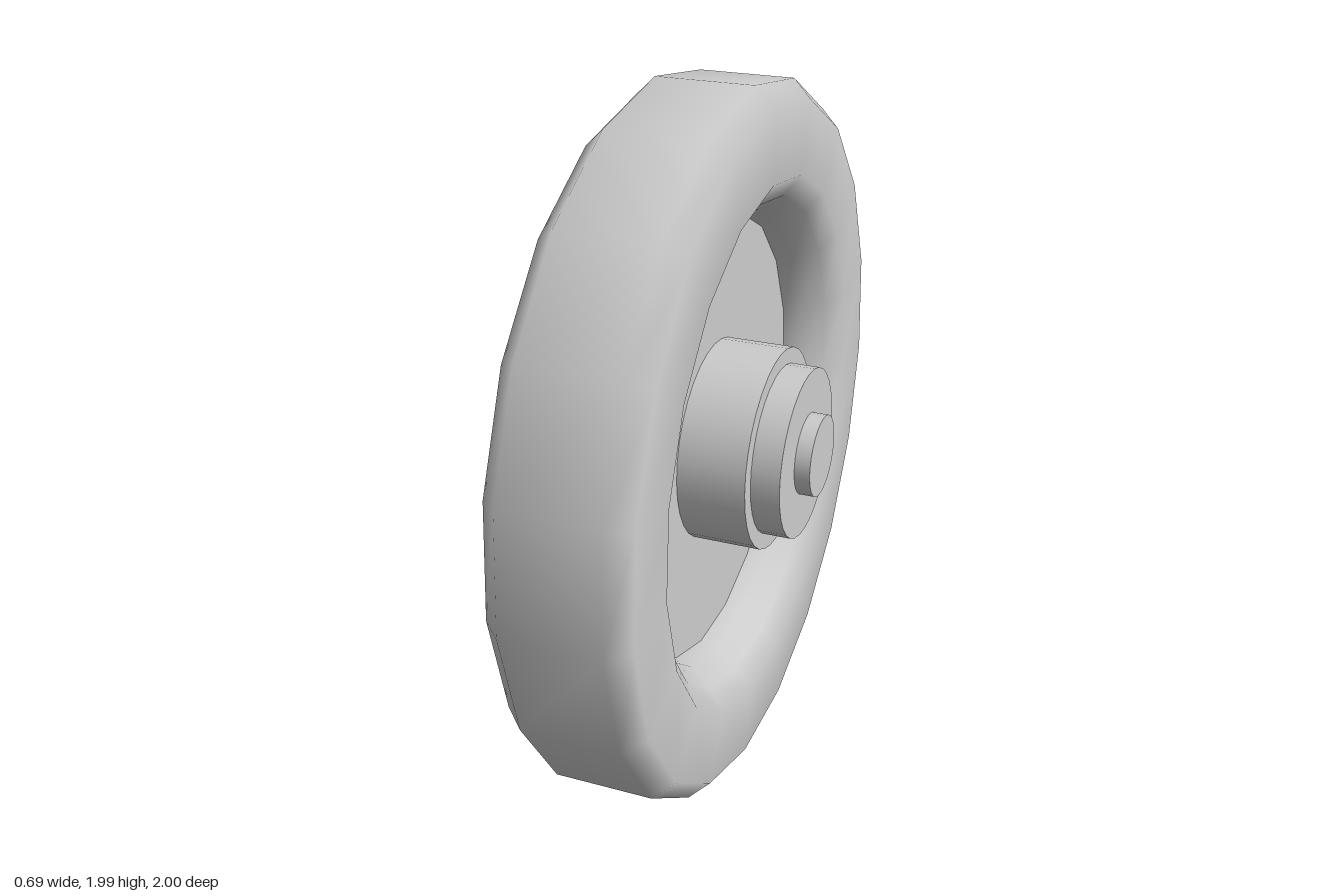
import * as THREE from 'three';

const SIDES = 19;          // facets of the tyre and web
const RADIUS = 1.0034;
const AXLE_Y = RADIUS * Math.cos(Math.PI / SIDES);

export function createModel() {
  const wheel = new THREE.Group();
  wheel.name = 'wheel';
  const grey = new THREE.MeshStandardMaterial({ color: 0xcccccc });

  // Every part is turned around y, then laid so its axis runs along x
  const add = (name, geometry) => {
    const mesh = new THREE.Mesh(geometry.rotateZ(Math.PI / 2), grey);
    mesh.name = name;
    mesh.position.y = AXLE_Y;
    wheel.add(mesh);
  };

  // Tyre: half section from tread to bore (radius, offset), mirrored into a closed loop
  const half = [[RADIUS, 0.135], [0.95, 0.19], [0.75, 0.19], [0.69, 0.145], [0.645, 0.08], [0.63, 0.03]];
  const lower = half.map(([r, o]) => new THREE.Vector2(r, -o)).reverse();
  const upper = half.map(([r, o]) => new THREE.Vector2(r, o));
  const bore = new THREE.Vector2(0.63, 0);
  add('tyre', new THREE.LatheGeometry([bore, ...lower, ...upper, bore.clone()], SIDES, Math.PI / 2));

  // Web: flat disc closing the bore
  add('web', new THREE.CylinderGeometry(0.64, 0.64, 0.06, SIDES, 1, false, Math.PI / 2));

  // Stepped hub and axle pass right through the wheel
  const steps = [['hub', 0.285, 0.222], ['hubCap', 0.24, 0.303], ['axle', 0.115, 0.347]];
  for (const [name, radius, reach] of steps) {
    add(name, new THREE.CylinderGeometry(radius, radius, reach * 2, 32));
  }
  return wheel;
}
